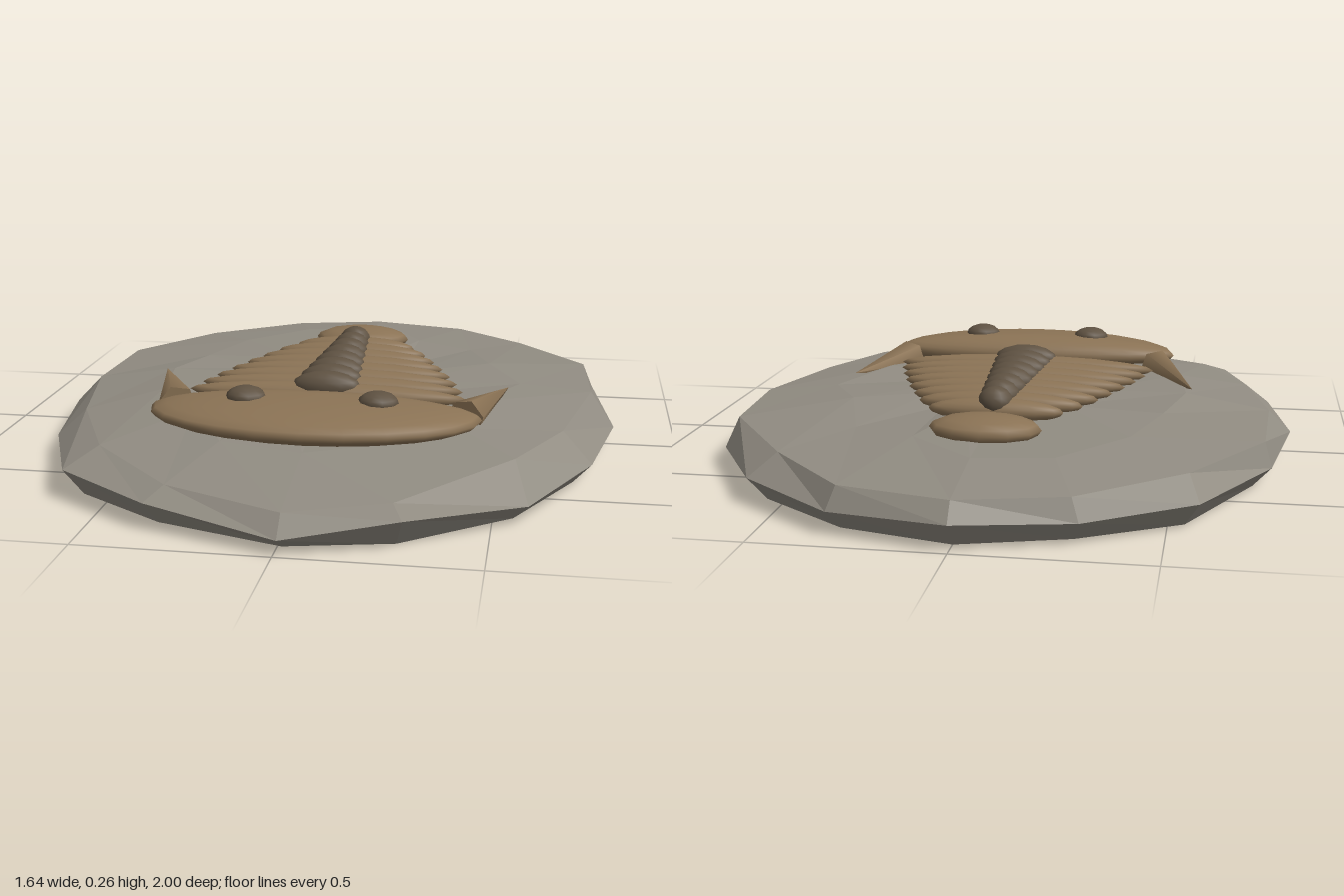
import * as THREE from 'three';

const slabStone = new THREE.MeshStandardMaterial({ color: 0x918c82, flatShading: true });
slabStone.name = 'slab stone';
const shell = new THREE.MeshStandardMaterial({ color: 0x8b7355 });
shell.name = 'fossil shell';
const spineShell = shell; // the spines share the shell colour
const darkShell = new THREE.MeshStandardMaterial({ color: 0x5f5242 });
darkShell.name = 'dark shell';

function add(group, name, geometry, material) {
  const mesh = new THREE.Mesh(geometry, material);
  mesh.name = name;
  group.add(mesh);
  return mesh;
}

// Ellipsoid with given centre and half sizes
function blob(group, name, material, center, half, segments = 14, rows = 10) {
  const mesh = add(group, name, new THREE.SphereGeometry(1, segments, rows), material);
  mesh.position.set(...center);
  mesh.scale.set(...half);
  return mesh;
}

// Faceted slab: uneven outline, lofted through rings from the underside to the top
function slabGeometry() {
  const rim = [
    [0, -1], [0.32, -0.92], [0.59, -0.72], [0.76, -0.42], [0.82, -0.04], [0.75, 0.38], [0.59, 0.7], [0.3, 0.93],
    [0.01, 0.995], [-0.35, 0.88], [-0.62, 0.7], [-0.76, 0.35], [-0.82, 0], [-0.76, -0.38], [-0.58, -0.75], [-0.3, -0.91],
  ];
  const rimY = [0.07, 0.06, 0.07, 0.06, 0.04, 0.06, 0.05, 0.08, 0.04, 0.07, 0.08, 0.06, 0.06, 0.06, 0.07, 0.06];
  const edge = [
    [0, -0.96], [0.3, -0.89], [0.52, -0.67], [0.73, -0.38], [0.75, -0.06], [0.67, 0.31], [0.55, 0.57], [0.27, 0.86],
    [0.01, 0.94], [-0.31, 0.82], [-0.55, 0.6], [-0.69, 0.3], [-0.755, -0.03], [-0.74, -0.37], [-0.55, -0.67], [-0.28, -0.89],
  ];
  const edgeY = [0.12, 0.12, 0.13, 0.14, 0.14, 0.13, 0.13, 0.1, 0.09, 0.1, 0.12, 0.125, 0.13, 0.13, 0.125, 0.12];
  const innerScale = [0.74, 0.62, 0.7, 0.6, 0.72, 0.64, 0.72, 0.66, 0.68, 0.72, 0.63, 0.7, 0.68, 0.62, 0.7, 0.76];
  const innerY = [0.15, 0.155, 0.15, 0.17, 0.16, 0.17, 0.155, 0.145, 0.14, 0.145, 0.165, 0.17, 0.17, 0.16, 0.155, 0.15];
  const n = rim.length;
  const rings = [
    rim.map(([x, z]) => [x * 0.935, 0, z * 0.935]),
    rim.map(([x, z], i) => [x, rimY[i], z]),
    edge.map(([x, z], i) => [x, edgeY[i], z]),
    edge.map(([x, z], i) => [x * innerScale[i], innerY[i], z * innerScale[i]]),
    edge.map(([x, z], i) => [x * 0.32, 0.162 + 0.008 * Math.sin(i * 2.3), z * 0.32]),
  ];
  const pos = [];
  const tri = (a, b, c) => pos.push(...a, ...b, ...c);
  for (let i = 0; i < n; i++) {
    const j = (i + 1) % n;
    tri([0, 0, 0], rings[0][i], rings[0][j]);
    for (let k = 0; k < rings.length - 1; k++) {
      tri(rings[k][i], rings[k + 1][i], rings[k + 1][j]);
      tri(rings[k][i], rings[k + 1][j], rings[k][j]);
    }
    const top = rings[rings.length - 1];
    tri([0, 0.168, 0], top[j], top[i]);
  }
  const geometry = new THREE.BufferGeometry();
  geometry.setAttribute('position', new THREE.Float32BufferAttribute(pos, 3));
  geometry.computeVertexNormals();
  return geometry;
}

// Head shield: ellipsoid with a rounded front and a shallow, squarer back
function headGeometry() {
  const geometry = new THREE.SphereGeometry(1, 24, 14);
  const p = geometry.attributes.position;
  for (let i = 0; i < p.count; i++) {
    const z = p.getZ(i);
    p.setXYZ(i, p.getX(i) * 0.455, p.getY(i) * 0.056, z * (z > 0 ? 0.235 : 0.095));
  }
  geometry.computeVertexNormals();
  return geometry;
}

// Cheek spine: pointed cone running from base to tip
function spine(group, name, base, tip) {
  const from = new THREE.Vector3(...base);
  const to = new THREE.Vector3(...tip);
  const mesh = add(group, name, new THREE.ConeGeometry(0.054, from.distanceTo(to), 6), spineShell);
  mesh.position.copy(from).lerp(to, 0.5);
  mesh.quaternion.setFromUnitVectors(new THREE.Vector3(0, 1, 0), to.sub(from).normalize());
}

export function createModel() {
  const model = new THREE.Group();
  model.name = 'fossilSlab';
  add(model, 'slab', slabGeometry(), slabStone);

  const fossil = new THREE.Group();
  fossil.name = 'fossil';
  model.add(fossil);

  // Head, eyes and cheek spines
  add(fossil, 'headShield', headGeometry(), shell).position.set(0, 0.184, 0.425);
  for (const [side, s] of [['left', 1], ['right', -1]]) {
    blob(fossil, side + 'Eye', darkShell, [s * 0.18, 0.232, 0.46], [0.055, 0.03, 0.048], 10, 8);
  }
  spine(fossil, 'leftCheekSpine', [0.405, 0.165, 0.352], [0.51, 0.175, 0.055]);
  spine(fossil, 'rightCheekSpine', [-0.405, 0.165, 0.34], [-0.53, 0.175, 0.005]);

  // Body segments narrowing towards the tail, each with a dark central node
  const ribHalf = [0.4, 0.383, 0.36, 0.333, 0.303, 0.27, 0.235, 0.19];
  ribHalf.forEach((half, i) => {
    const z = 0.222 - i * 0.08;
    blob(fossil, 'rib' + (i + 1), shell, [0, 0.178, z], [half, 0.035, 0.041]);
    blob(fossil, 'node' + (i + 1), darkShell, [0, 0.204, z], [0.098 - i * 0.007, 0.043, 0.043], 12, 8);
  });

  // Tail shield
  blob(fossil, 'tailShield', shell, [0, 0.17, -0.5], [0.153, 0.04, 0.094], 12, 8);
  return model;
}
